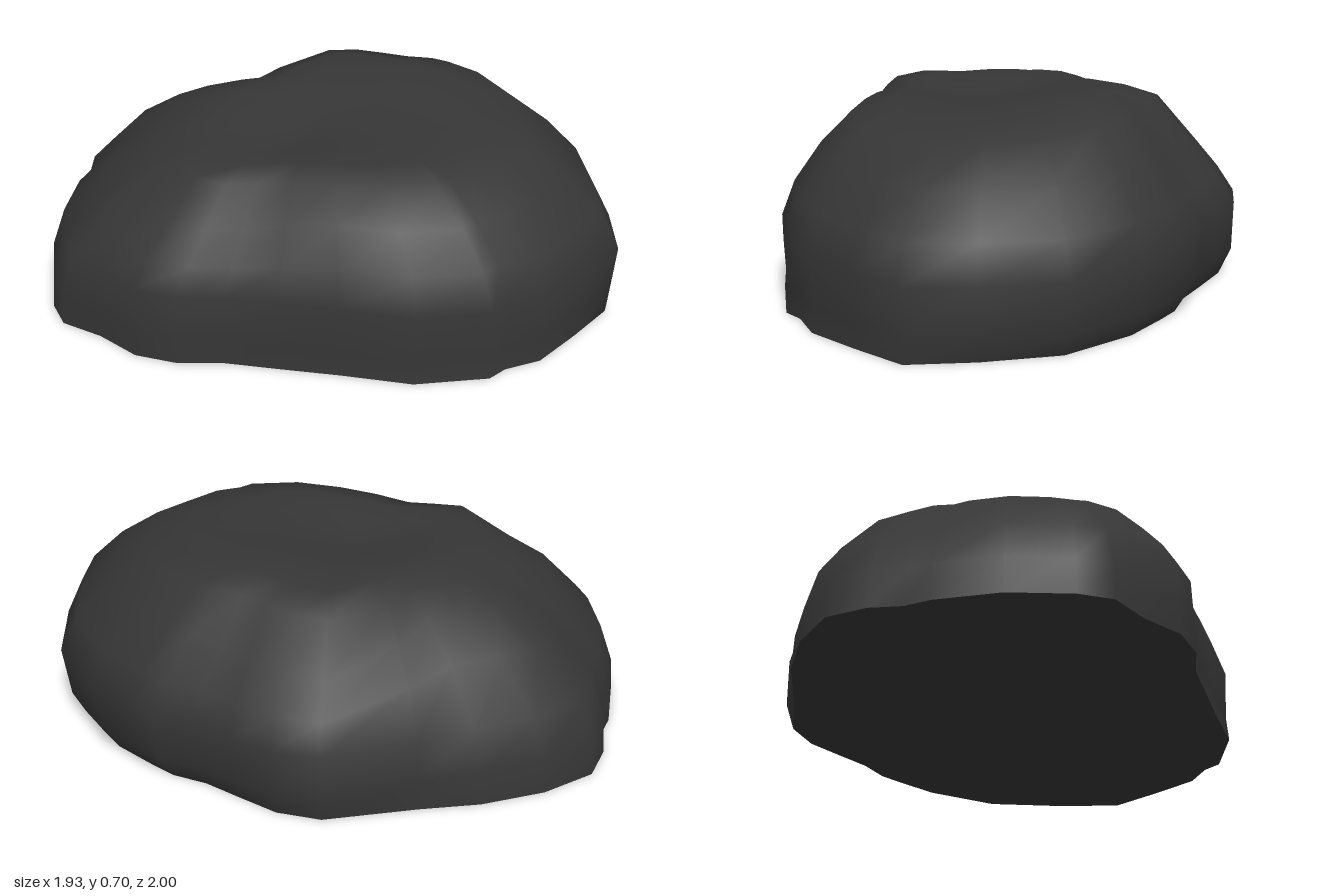
import * as THREE from 'three';

// Plan outline (x, z), clockwise seen from above
const OUTLINE = [
  [-0.31, -1.0], [-0.1, -0.97], [0.12, -0.88], [0.31, -0.77], [0.63, -0.62], [0.74, -0.49],
  [0.8, -0.33], [0.85, -0.18], [0.92, -0.05], [0.94, 0.05], [0.965, 0.25], [0.91, 0.55],
  [0.73, 0.79], [0.56, 0.97], [0.34, 0.985], [0.13, 0.995], [0, 0.945], [-0.08, 0.945],
  [-0.3, 0.79], [-0.45, 0.58], [-0.58, 0.41], [-0.7, 0.25], [-0.82, 0.14], [-0.9, 0],
  [-0.92, -0.18], [-0.97, -0.34], [-0.93, -0.46], [-0.8, -0.65], [-0.62, -0.8],
  [-0.53, -0.845], [-0.45, -0.93],
];

// Side profiles (outline scale, fraction of the top height), from the ground inwards
const STEEP = [[1, 0], [0.99, 0.13], [1, 0.42], [0.94, 0.61], [0.82, 0.81], [0.68, 0.97], [0.52, 1], [0.34, 1], [0.17, 1]];
const CHAMFERED = [[1, 0], [1, 0.15], [0.99, 0.42], [0.92, 0.56], [0.81, 0.73], [0.66, 0.95], [0.52, 1], [0.34, 1], [0.17, 1]];
const SLOPED = [[1, 0], [0.99, 0.2], [0.94, 0.43], [0.77, 0.71], [0.61, 0.88], [0.47, 0.96], [0.36, 1], [0.24, 1], [0.12, 1]];

// Which profile applies in which direction, in degrees from +x towards +z
const SIDES = [
  [15, STEEP], [125, STEEP], [165, CHAMFERED], [185, CHAMFERED], [205, SLOPED],
  [275, SLOPED], [310, CHAMFERED], [340, CHAMFERED], [375, STEEP],
];

// Swells and hollows of the top: x, z, radius, height
const TOP_HEIGHT = 0.65;
const TOP_FEATURES = [
  [0.5, -0.02, 0.45, 0.052], [-0.05, 0, 0.22, -0.04], [-0.32, 0, 0.2, -0.03],
  [-0.6, 0.14, 0.16, -0.02],
];

function topHeight(x, z) {
  return TOP_FEATURES.reduce(
    (y, [fx, fz, r, h]) => y + h * Math.exp(-((x - fx) ** 2 + (z - fz) ** 2) / (r * r)),
    TOP_HEIGHT,
  );
}

// Profile point k in a direction, blended between the neighbouring sides
function profileAt(angle, k) {
  const degrees = ((THREE.MathUtils.radToDeg(angle) - 15 + 720) % 360) + 15;
  const next = SIDES.findIndex(([limit]) => limit > degrees);
  const [from, a] = SIDES[next - 1];
  const [to, b] = SIDES[next];
  const w = THREE.MathUtils.smoothstep(degrees, from, to);
  return [0, 1].map((j) => THREE.MathUtils.lerp(a[k][j], b[k][j], w));
}

// One horizontal loop of the stone
function ring(k) {
  return OUTLINE.map(([x, z]) => {
    const [scale, f] = profileAt(Math.atan2(z, x), k);
    // the foot is undercut on one side
    const undercut = [0.09, 0.02][k] ?? 0;
    const s = scale - undercut * Math.max(0, x / Math.hypot(x, z)) ** 2;
    return [x * s, f * topHeight(x * s, z * s), z * s];
  });
}

function makeGeometry(points, index) {
  const geometry = new THREE.BufferGeometry();
  geometry.setAttribute('position', new THREE.Float32BufferAttribute(points.flat(), 3));
  geometry.setIndex(index);
  geometry.computeVertexNormals();
  return geometry;
}

export function createModel() {
  const group = new THREE.Group();
  group.name = 'boulder';
  const stone = new THREE.MeshStandardMaterial({ color: 0x363636 });
  stone.name = 'dark stone';

  const n = OUTLINE.length;
  const rings = STEEP.map((_, k) => ring(k));

  // Rounded stone shell
  const points = rings.flat();
  const apex = points.length;
  points.push([0, topHeight(0, 0), 0]);
  const index = [];
  for (let k = 0; k < rings.length; k++) {
    for (let i = 0; i < n; i++) {
      const a = k * n + i;
      const b = k * n + (i + 1) % n;
      if (k === rings.length - 1) index.push(a, apex, b);
      else index.push(a, a + n, b, b, a + n, b + n);
    }
  }
  const shell = new THREE.Mesh(makeGeometry(points, index), stone);
  shell.name = 'stoneShell';
  group.add(shell);

  // Flat underside
  const basePoints = [...rings[0], [0, 0, 0]];
  const baseIndex = [];
  for (let i = 0; i < n; i++) baseIndex.push(n, i, (i + 1) % n);
  const base = new THREE.Mesh(makeGeometry(basePoints, baseIndex), stone);
  base.name = 'flatUnderside';
  group.add(base);

  return group;
}
